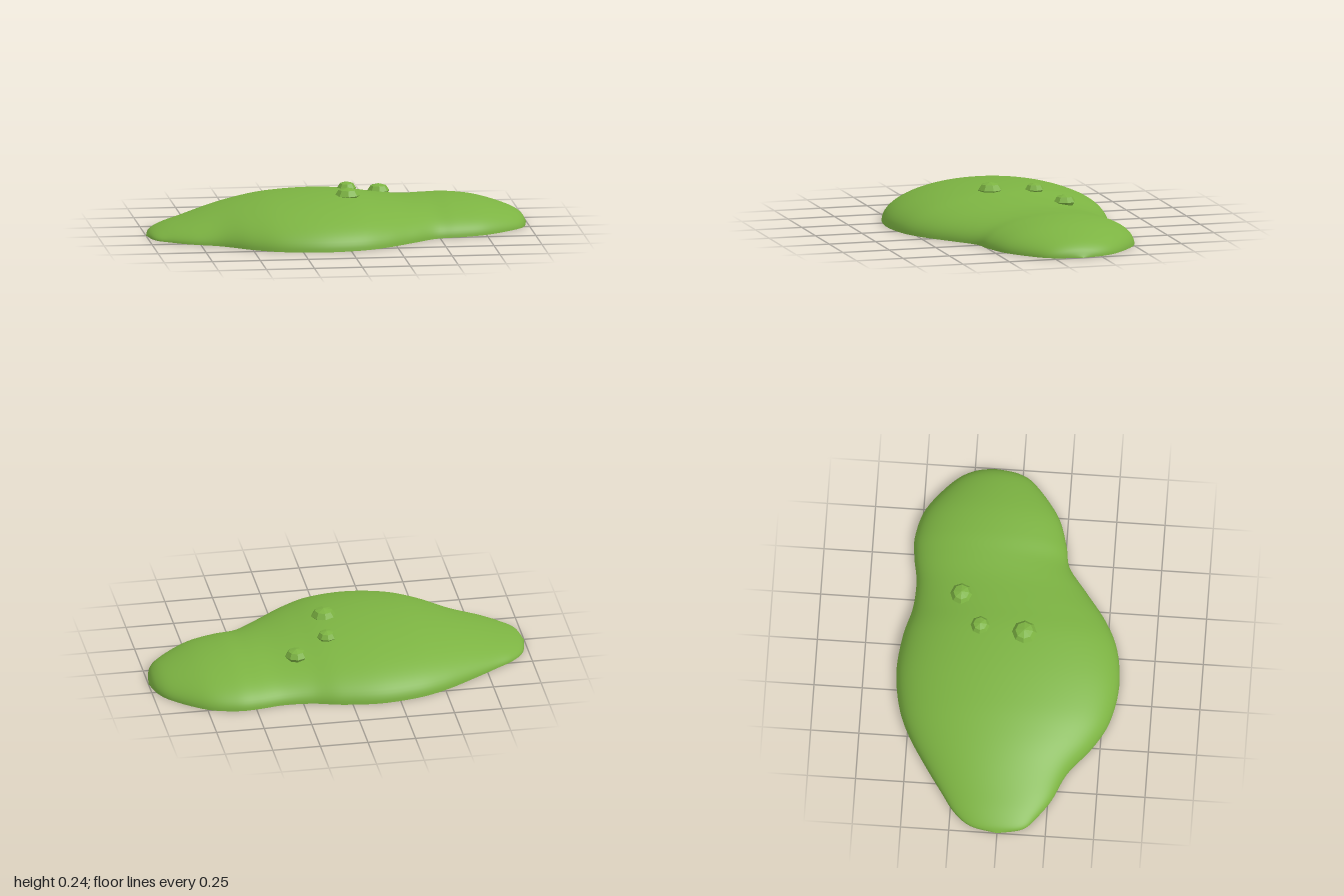
import * as THREE from 'three';

// Stations along the puddle: x, front edge z, back edge z, ridge height
const STATIONS = [
  [-1, 0.0, 0.0, 0], [-0.97, 0.13, -0.14, 0.03], [-0.9, 0.2, -0.23, 0.06], [-0.8, 0.27, -0.3, 0.09],
  [-0.65, 0.34, -0.4, 0.135], [-0.5, 0.46, -0.49, 0.172], [-0.35, 0.54, -0.55, 0.197],
  [-0.15, 0.575, -0.58, 0.209], [0.05, 0.55, -0.56, 0.203], [0.2, 0.48, -0.52, 0.181],
  [0.35, 0.37, -0.51, 0.16], [0.48, 0.275, -0.53, 0.155], [0.6, 0.25, -0.535, 0.154],
  [0.75, 0.2, -0.49, 0.135], [0.9, 0.09, -0.37, 0.09], [0.97, 0.0, -0.27, 0.05], [1, -0.15, -0.15, 0],
];

const spline = (pick) => new THREE.CatmullRomCurve3(
  STATIONS.map((s) => new THREE.Vector3(...pick(s))), false, 'catmullrom', 0.5);

// Lofts rows of points into a surface facing up, or down when flipped
function loft(rows, flip) {
  const n = rows[0].length, index = [];
  for (let i = 0; i < rows.length - 1; i++) {
    for (let j = 0; j < n - 1; j++) {
      const a = i * n + j, b = a + 1, c = a + n, d = c + 1;
      index.push(...(flip ? [a, c, b, b, c, d] : [a, b, c, b, d, c]));
    }
  }
  const geo = new THREE.BufferGeometry();
  geo.setAttribute('position', new THREE.Float32BufferAttribute(rows.flat(2), 3));
  geo.setIndex(index);
  geo.computeVertexNormals();
  return geo;
}

export function createModel() {
  const group = new THREE.Group();
  group.name = 'slimePuddle';
  const green = new THREE.MeshStandardMaterial({ color: 0x7cb342 });
  green.name = 'slime green';
  const facetedGreen = green; // bumps get faceted normals from their geometry

  const add = (name, geo, mat) => {
    const mesh = new THREE.Mesh(geo, mat);
    mesh.name = name;
    group.add(mesh);
    return mesh;
  };

  // Domed top and flat underside from half-elliptical cross-sections
  const frontCurve = spline(([x, f]) => [x, 0, f]);
  const backCurve = spline(([x, , b, h]) => [x, h, b]);
  const domeRows = [], baseRows = [];
  const steps = 96, around = 40;
  for (let i = 0; i <= steps; i++) {
    const front = frontCurve.getPoint(i / steps), back = backCurve.getPoint(i / steps);
    const mid = (front.z + back.z) / 2, half = (front.z - back.z) / 2;
    const row = [];
    for (let j = 0; j <= around; j++) {
      const a = (j / around) * Math.PI;
      row.push([front.x, Math.max(0, back.y * Math.sin(a)), mid - half * Math.cos(a)]);
    }
    domeRows.push(row);
    baseRows.push([[front.x, 0, back.z], [front.x, 0, front.z]]);
  }
  add('puddleDome', loft(domeRows, false), green);
  add('puddleUnderside', loft(baseRows, true), green);

  // Faceted bubbles: x, y, z, radius, height
  const bubbles = [
    [0.04, 0.202, 0.07, 0.065, 0.04],
    [0.065, 0.196, -0.16, 0.05, 0.034],
    [0.245, 0.158, -0.27, 0.058, 0.037],
  ];
  bubbles.forEach(([x, y, z, r, h], i) => {
    const geo = new THREE.SphereGeometry(1, 8, 4).scale(r, h, r).toNonIndexed();
    geo.computeVertexNormals();
    add(`bubble${i + 1}`, geo, facetedGreen).position.set(x, y, z);
  });

  return group;
}
